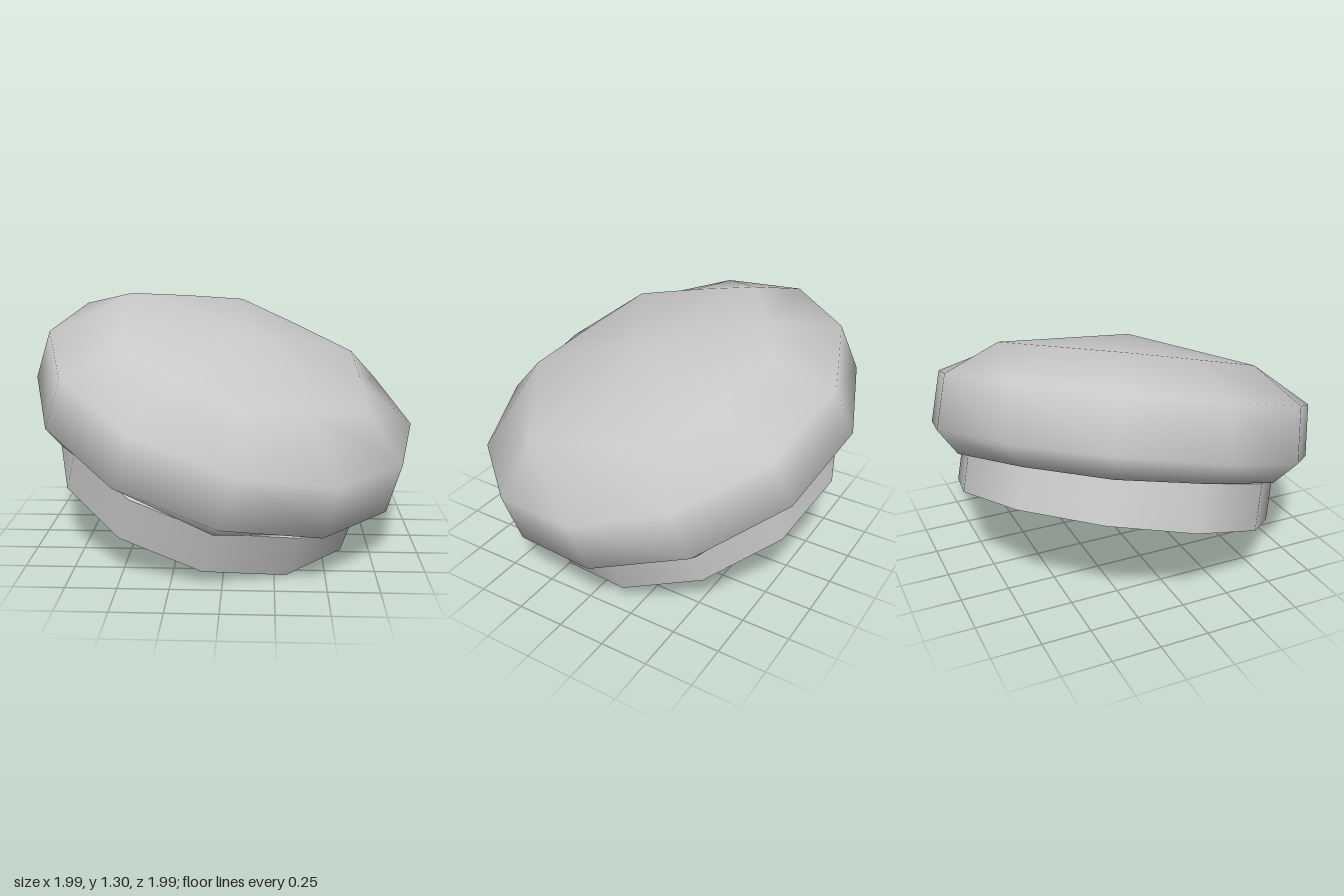
import * as THREE from 'three';
import { mergeVertices } from 'three/addons/utils/BufferGeometryUtils.js';

export function createModel() {
  const model = new THREE.Group();
  const grey = new THREE.MeshStandardMaterial({ color: 0xc8c8c8 });
  grey.name = 'plainGrey';

  const SIDES = 12;
  const START = Math.PI / SIDES;
  const UP = new THREE.Vector3(0, 1, 0);

  // Adds a mesh whose own upright axis leans towards the front left corner
  function addLeaning(name, geometry, position, axis, turn) {
    const mesh = new THREE.Mesh(geometry, grey);
    mesh.name = name;
    mesh.position.set(...position);
    mesh.quaternion.setFromUnitVectors(UP, new THREE.Vector3(...axis).normalize())
      .multiply(new THREE.Quaternion().setFromAxisAngle(UP, Math.PI / 4 + turn));
    model.add(mesh);
  }

  // Rounded cap: broad twelve-sided wall between two nearly six-sided rims
  const profile = [[0, -0.25], [0.89, -0.25], [1.005, -0.14], [0.99, 0.135], [0.73, 0.31], [0, 0.42]]
    .map(([r, h]) => new THREE.Vector2(r, h));
  const lathe = new THREE.LatheGeometry(profile, SIDES, START);
  const pos = lathe.attributes.position;
  for (let side = 1; side < SIDES; side += 2) {
    // Pull every second rim corner in towards the line between its neighbours
    for (const [ring, pull] of [[1, 0.95], [4, 0.88]]) {
      const i = side * profile.length + ring;
      pos.setXYZ(i, pos.getX(i) * pull, pos.getY(i), pos.getZ(i) * pull);
    }
  }
  lathe.deleteAttribute('normal');
  lathe.deleteAttribute('uv');
  const capGeometry = mergeVertices(lathe, 1e-4);
  capGeometry.computeVertexNormals();
  addLeaning('cap', capGeometry, [0, 0.74, 0], [0.28, 0.93, 0.228], 0.07);

  // Short round base below the cap
  const height = 0.235;
  const baseGeometry = new THREE.CylinderGeometry(0.84, 0.84, height, SIDES, 1, false, START);
  baseGeometry.translate(0, height / 2, 0);
  addLeaning('base', baseGeometry, [-0.107, 0.292, -0.103], [0.262, 0.929, 0.262], 0.05);

  return model;
}
